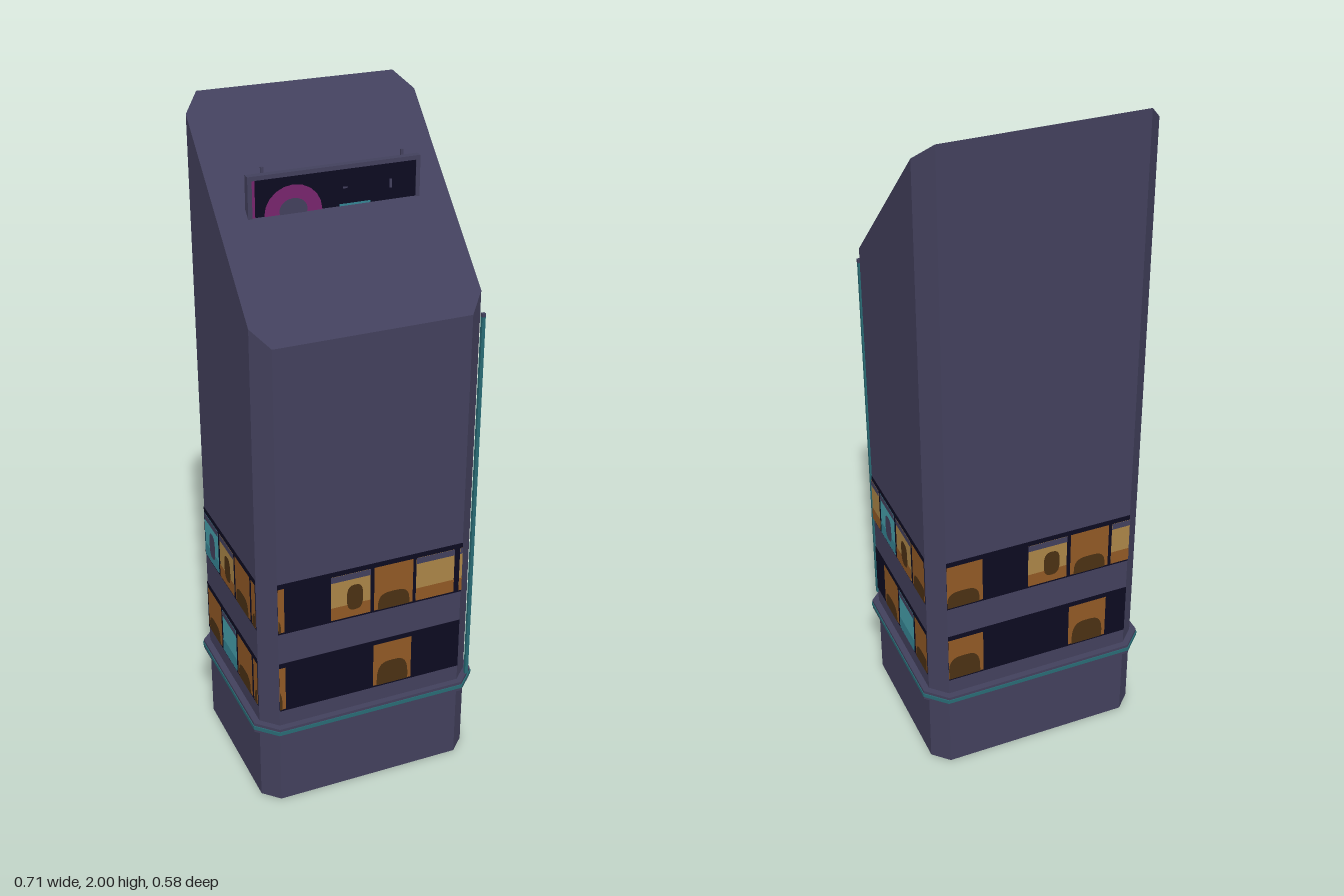
import * as THREE from 'three';

const mat = (name, color, side = THREE.FrontSide) => {
  const m = new THREE.MeshStandardMaterial({ color, side });
  m.name = name;
  return m;
};

export function createModel() {
  const M = {
    wall: mat('slateWall', 0x42405c),
    dark: mat('darkGlass', 0x0c0a20),
    tan: mat('warmLight', 0xaa8447),
    orange: mat('amberLight', 0x905824),
    brown: mat('brownShade', 0x4a3013),
    cyan: mat('cyanLight', 0x469fab),
    deepCyan: mat('deepCyan', 0x358494),
    magenta: mat('magentaSign', 0x77256c),
    teal: mat('tealTrim', 0x286a74),
  };
  const model = new THREE.Group();
  model.name = 'tower';

  const add = (parent, name, geo, material, x = 0, y = 0, z = 0) => {
    const mesh = new THREE.Mesh(geo, material);
    mesh.name = name;
    mesh.position.set(x, y, z);
    parent.add(mesh);
    return mesh;
  };

  // Upright prism with chamfered corners, standing on its base
  const prism = (hx, hz, c, height) => {
    const s = new THREE.Shape([
      [hx, -hz + c], [hx, hz - c], [hx - c, hz], [-hx + c, hz],
      [-hx, hz - c], [-hx, -hz + c], [-hx + c, -hz], [hx - c, -hz],
    ].map(([x, y]) => new THREE.Vector2(x, y)));
    return new THREE.ExtrudeGeometry(s, { depth: height, bevelEnabled: false }).rotateX(-Math.PI / 2);
  };

  // Body: the roof vertices follow a plane rising to the back
  const HX = 0.333, HZ = 0.267, C = 0.046;
  const body = prism(HX, HZ, C, 1);
  const p = body.attributes.position;
  for (let i = 0; i < p.count; i++) {
    if (p.getY(i) > 0.5) p.setY(i, 1.47 + (HZ - p.getZ(i)) * (0.53 / (2 * HZ)));
  }
  body.computeVertexNormals();
  add(model, 'body', body, M.wall);

  // Ledge with a lit strip around it
  add(model, 'ledge', prism(0.352, 0.286, 0.058, 0.031), M.wall, 0, 0.243);
  add(model, 'ledgeStrip', prism(0.354, 0.288, 0.058, 0.012), M.teal, 0, 0.253);

  // Corner light tube
  add(model, 'cornerTube', new THREE.BoxGeometry(0.01, 1.18, 0.01), M.teal, 0.323, 0.87, 0.257);
  add(model, 'tubeCap', new THREE.BoxGeometry(0.011, 0.01, 0.011), M.wall, 0.323, 1.46, 0.257);

  // Flat painted rectangle and rounded patch, both clipped to a left and right limit
  const rect = (parent, name, material, u0, u1, y0, y1, z) =>
    add(parent, name, new THREE.PlaneGeometry(u1 - u0, y1 - y0), material, (u0 + u1) / 2, (y0 + y1) / 2, z);
  const patch = (parent, name, material, u, y, rx, ry, power, half, lo, hi, z) => {
    const pts = [];
    const n = 20, sweep = half ? Math.PI : Math.PI * 2;
    for (let i = 0; i <= n - (half ? 0 : 1); i++) {
      const a = (i / n) * sweep, c = Math.cos(a), s = Math.sin(a);
      pts.push(new THREE.Vector2(
        THREE.MathUtils.clamp(u + rx * Math.sign(c) * Math.abs(c) ** power, lo, hi),
        y + ry * Math.sign(s) * Math.abs(s) ** power));
    }
    add(parent, name, new THREE.ShapeGeometry(new THREE.Shape(pts)), material, 0, 0, z);
  };

  // One window, cut off where the wall ends
  const W = 0.122;
  const windowCell = (wall, half, start, y, kind) => {
    const u0 = Math.max(start, -half), u1 = Math.min(start + W, half);
    if (u1 - u0 < 0.004) return;
    const mid = start + W / 2, top = y + 0.145;
    const fits = mid - 0.03 > u0 && mid + 0.03 < u1;
    const cold = kind.startsWith('cyan'), hill = kind.startsWith('orange');
    rect(wall, 'windowLight', cold ? M.cyan : hill ? M.orange : M.tan, u0, u1, y, top, 0.003);
    if (hill) {
      const tall = kind === 'orangeTall';
      patch(wall, 'windowShade', M.brown, mid, y, 0.05, tall ? 0.08 : 0.055, 0.6, true, u0, u1, 0.005);
    } else {
      rect(wall, 'windowBlind', M.wall, u0, u1, top - 0.02, top, 0.004);
      rect(wall, 'windowFloor', cold ? M.deepCyan : M.orange, u0, u1, y, y + 0.042, 0.004);
      if (kind.endsWith('Blob') && fits) {
        patch(wall, 'windowFigure', cold ? M.wall : M.brown, mid + 0.012, y + 0.065,
          0.025, 0.042, 0.7, false, u0, u1, 0.006);
      }
    }
  };

  // Window bands: wide walls share one pattern, narrow walls another, each shifted
  const wide = {
    upper: [[-0.39, 'orange'], [-0.127, 'tanBlob'], [0.007, 'orange'], [0.139, 'tan'], [0.278, 'tan']],
    lower: [[-0.39, 'orangeTall'], [0.007, 'orangeTall']],
  };
  const narrow = {
    upper: [[-0.275, 'tan'], [-0.142, 'cyanBlob'], [-0.007, 'tanBlob'], [0.126, 'orange'], [0.26, 'orange']],
    lower: [[-0.14, 'orange'], [-0.007, 'cyan'], [0.126, 'orange'], [0.26, 'orange']],
  };
  const walls = [
    ['frontWindows', 0, HZ, HX - C, wide, 0],
    ['leftWindows', Math.PI / 2, HX, HZ - C, narrow, 0],
    ['backWindows', Math.PI, HZ, HX - C, wide, 0.09],
    ['rightWindows', -Math.PI / 2, HX, HZ - C, narrow, -0.07],
  ];
  for (const [name, turn, dist, half, cells, shift] of walls) {
    const wall = new THREE.Group();
    wall.name = name;
    wall.rotation.y = turn;
    wall.position.set(Math.sin(turn) * dist, 0, Math.cos(turn) * dist);
    model.add(wall);
    for (const [row, y] of [['lower', 0.325], ['upper', 0.592]]) {
      rect(wall, 'windowBand', M.dark, -half, half, y, y + 0.167, 0.0015);
      for (const [u, kind] of cells[row]) windowCell(wall, half, u + shift, y + 0.007, kind);
    }
  }

  // Sign board standing out of the sloping roof
  const sign = new THREE.Group();
  sign.name = 'roofSign';
  model.add(sign);
  add(sign, 'signBoard', new THREE.BoxGeometry(0.486, 0.17, 0.014), M.wall, -0.002, 1.75, 0);
  add(sign, 'signFrameTop', new THREE.BoxGeometry(0.494, 0.012, 0.021), M.wall, -0.002, 1.834, -0.001);
  for (const s of [-1, 1]) {
    add(sign, 'signFrameSide', new THREE.BoxGeometry(0.012, 0.17, 0.021), M.wall, -0.002 + s * 0.241, 1.755, -0.001);
    add(sign, 'signPost', new THREE.BoxGeometry(0.008, 0.19, 0.006), M.wall, s * 0.2, 1.76, -0.014);
  }
  rect(sign, 'signFace', M.dark, -0.237, 0.233, 1.67, 1.828, 0.0078);
  rect(sign, 'signEdgeStripe', M.magenta, -0.237, -0.229, 1.67, 1.828, 0.0084);
  patch(sign, 'signDisc', M.magenta, -0.122, 1.728, 0.082, 0.077, 1, false, -1, 1, 0.0086);
  patch(sign, 'signDiscCentre', M.wall, -0.122, 1.735, 0.04, 0.033, 1, false, -1, 1, 0.0092);
  rect(sign, 'signDash', M.deepCyan, 0.01, 0.1, 1.727, 1.733, 0.0086);
  rect(sign, 'signDot', M.wall, 0.02, 0.032, 1.775, 1.78, 0.0086);
  rect(sign, 'signDot', M.wall, 0.155, 0.162, 1.76, 1.785, 0.0086);
  return model;
}
